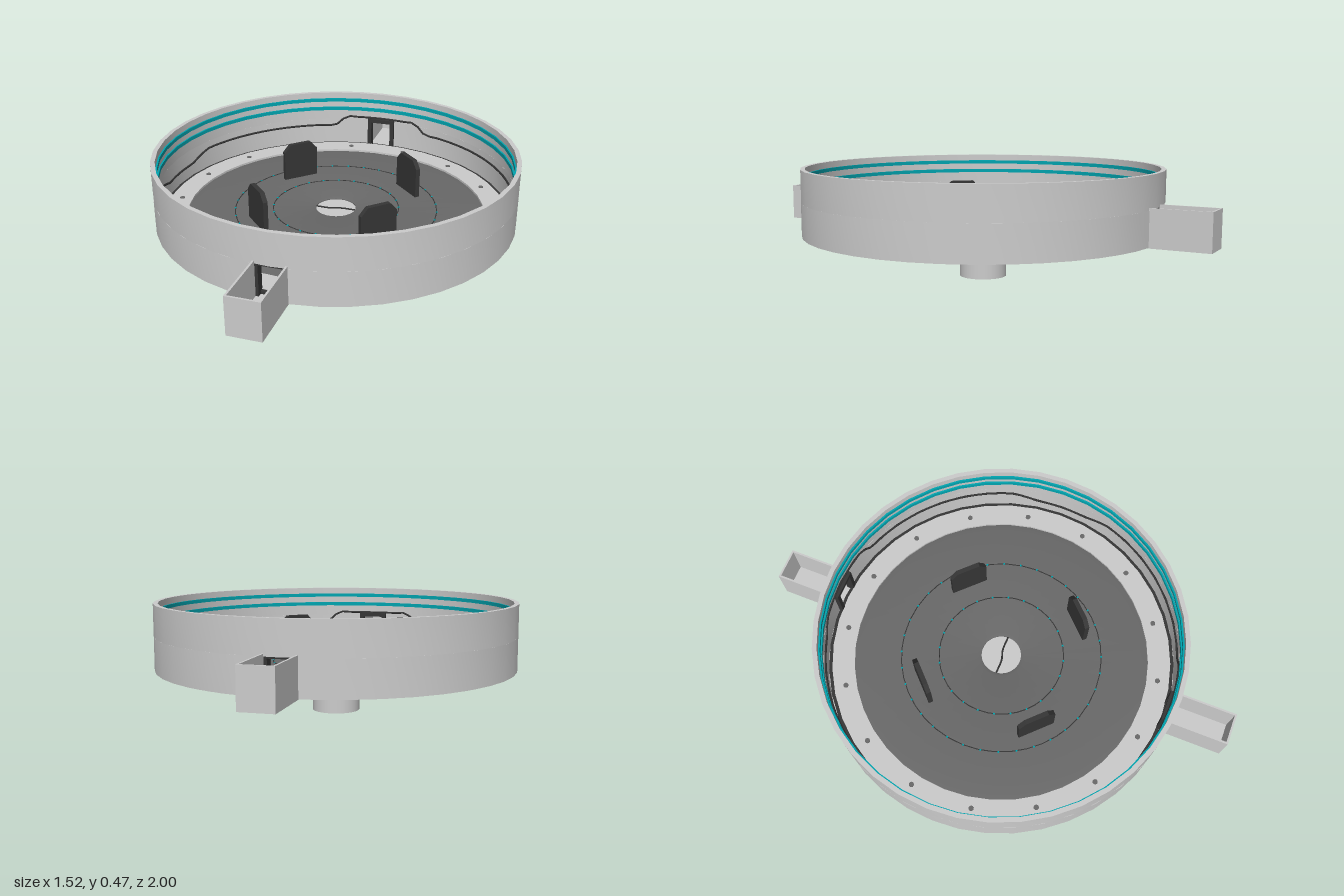
import * as THREE from 'three';
import { toCreasedNormals } from 'three/addons/utils/BufferGeometryUtils.js';

const mat = (name, color) => {
  const m = new THREE.MeshStandardMaterial({ color });
  m.name = name;
  return m;
};

export function createModel() {
  const shell = mat('light grey', 0xcccccc);
  const floorGrey = mat('floor grey', 0x696969);
  const dark = mat('dark grey', 0x363636);
  const teal = mat('teal', 0x00a5b0);

  const model = new THREE.Group();
  model.name = 'roundTray';

  const add = (parent, name, geometry, material, x = 0, y = 0, z = 0) => {
    const mesh = new THREE.Mesh(geometry, material);
    mesh.name = name;
    mesh.position.set(x, y, z);
    parent.add(mesh);
    return mesh;
  };
  // Turned solid from [radius, height] points, counter-clockwise
  const turned = (pts, start = 0, length = Math.PI * 2, segments = 40) =>
    toCreasedNormals(new THREE.LatheGeometry(
      pts.map(([r, y]) => new THREE.Vector2(r, y)), segments, start, length), 0.6);
  // Rectangular ring section
  const band = (r0, r1, y0, y1) => [[r0, y0], [r1, y0], [r1, y1], [r0, y1], [r0, y0]];

  // Base plate with a clearance hole for the shaft
  add(model, 'basePlate', turned(band(0.138, 0.755, 0.19, 0.2)), shell);

  // Outer wall: full ring above the doorways, two arcs below
  const doorTop = 0.335, gap = 0.08;
  add(model, 'upperWall', turned(band(0.743, 0.762, doorTop, 0.47)), shell);
  for (const s of [0, Math.PI]) {
    add(model, 'lowerWall',
      turned(band(0.743, 0.762, 0.192, doorTop), s + gap, Math.PI - 2 * gap, 20), shell);
  }

  // Dark floor disc with bevelled edges
  add(model, 'floorDisc', turned([
    [0.085, 0.2], [0.63, 0.2], [0.63, 0.206], [0.6, 0.211],
    [0.1, 0.211], [0.085, 0.206], [0.085, 0.2],
  ]), floorGrey);

  // Light border ring, its dark seal and the screws
  add(model, 'borderRing', turned(band(0.63, 0.726, 0.2, 0.215)), shell);
  add(model, 'seal', turned(band(0.726, 0.74, 0.2, 0.212)), dark);
  for (let i = 0; i < 16; i++) {
    const a = (i + 0.5) * Math.PI / 8;
    add(model, 'screw', new THREE.CylinderGeometry(0.011, 0.011, 0.004, 10), floorGrey,
      0.675 * Math.sin(a), 0.216, 0.675 * Math.cos(a));
  }

  // Thin circles on the floor with small teal lights
  for (const [r, count] of [[0.268, 24], [0.43, 36]]) {
    add(model, 'floorGroove', turned(band(r - 0.002, r + 0.002, 0.209, 0.2125)), dark);
    for (let i = 0; i < count; i++) {
      const a = i * 2 * Math.PI / count;
      add(model, 'floorLight', new THREE.BoxGeometry(0.007, 0.003, 0.007), teal,
        r * Math.sin(a), 0.2125, r * Math.cos(a));
    }
  }

  // Teal light strips inside the rim
  for (const y of [0.39, 0.434]) {
    add(model, 'lightStrip', turned(band(0.736, 0.744, y - 0.008, y + 0.008)), teal);
  }

  // Cable around the inner wall, dipping at both sides
  const cablePoints = [];
  for (let i = 0; i < 80; i++) {
    const a = i * Math.PI / 40;
    const dip = Math.max(0, 1 - Math.abs(Math.acos(Math.abs(Math.sin(a)))) / 0.3);
    // the cable passes above the doorways
    const lift = Math.max(0, 1 - Math.acos(Math.abs(Math.cos(a))) / 0.28) > 0 ? 0.045 : 0;
    cablePoints.push(new THREE.Vector3(
      0.738 * Math.sin(a), 0.303 + lift - 0.035 * Math.min(1, dip * 2), 0.738 * Math.cos(a)));
  }
  add(model, 'wallCable', new THREE.TubeGeometry(
    new THREE.CatmullRomCurve3(cablePoints, true), 120, 0.005, 5, true), dark);

  // Four upright fins with chamfered tops, set on the diagonals
  const finShape = new THREE.Shape([
    [-0.08, 0], [0.08, 0], [0.08, 0.135], [0.05, 0.168], [-0.05, 0.168], [-0.08, 0.135],
  ].map(([x, y]) => new THREE.Vector2(x, y)));
  const finGeometry = new THREE.ExtrudeGeometry(finShape, { depth: 0.02, bevelEnabled: false });
  finGeometry.translate(0, 0, -0.01);
  for (let i = 0; i < 4; i++) {
    const a = Math.PI / 4 + i * Math.PI / 2;
    add(model, 'fin', finGeometry, dark,
      0.358 * Math.sin(a), 0.207, 0.358 * Math.cos(a)).rotation.y = a;
  }

  // Centre shaft with a thin wire over its top
  add(model, 'shaft', new THREE.CylinderGeometry(0.1, 0.1, 0.203, 32), shell, 0, 0.1015, 0);
  const wire = new THREE.CatmullRomCurve3([
    [-0.085, 0.01], [-0.02, 0.01], [0.02, -0.002], [0.085, -0.002],
  ].map(([x, z]) => new THREE.Vector3(x, 0.205, z)));
  add(model, 'shaftWire', new THREE.TubeGeometry(wire, 12, 0.004, 5), dark);

  // Open-topped chute and door frame, front and back
  for (const turn of [0, Math.PI]) {
    const chute = new THREE.Group();
    chute.name = 'chute';
    chute.rotation.y = turn;
    model.add(chute);
    const box = (name, m, w, h, d, x, y, z) =>
      add(chute, name, new THREE.BoxGeometry(w, h, d), m, x, y, z);
    box('chuteFloor', shell, 0.134, 0.01, 0.25, 0, 0.195, 0.875);
    box('chuteEnd', shell, 0.134, 0.155, 0.008, 0, 0.2675, 0.996);
    for (const s of [-1, 1]) {
      box('chuteSide', shell, 0.008, 0.155, 0.243, s * 0.063, 0.2675, 0.8705);
      box('doorPost', dark, 0.018, 0.14, 0.035, s * 0.056, 0.27, 0.738);
    }
    box('doorLintel', dark, 0.13, 0.018, 0.035, 0, 0.337, 0.738);
  }

  return model;
}
